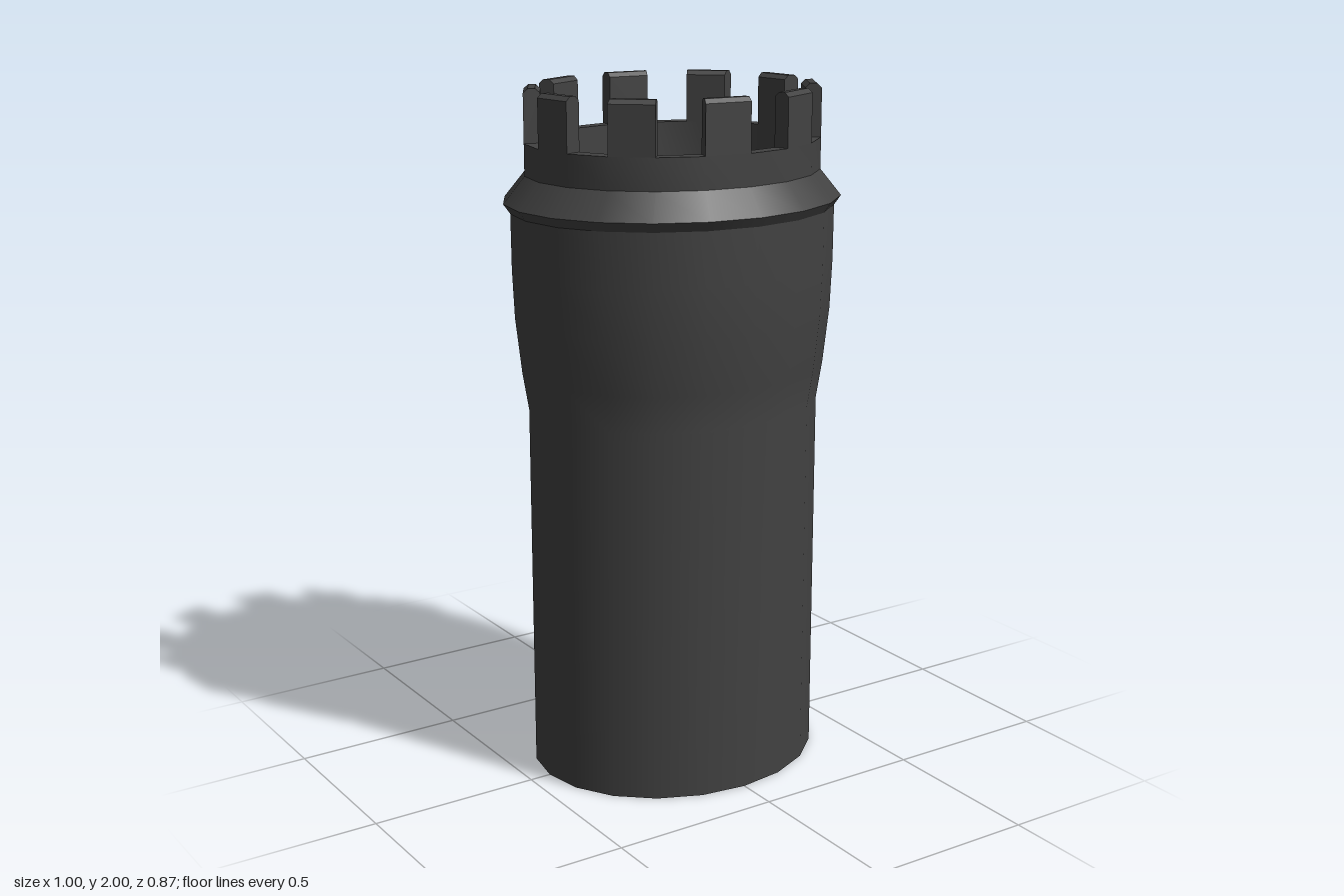
import * as THREE from 'three';
import { mergeGeometries, toCreasedNormals } from 'three/addons/utils/BufferGeometryUtils.js';

const SIDES = 20;
const STEP = (Math.PI * 2) / SIDES;
const DEPTH = 0.866; // oval plan: depth relative to width

const points = (list) => list.map(([r, y]) => new THREE.Vector2(r, y));

export function createModel() {
  const model = new THREE.Group();
  model.name = 'ovalTower';
  const stone = new THREE.MeshStandardMaterial({ color: 0x424242, side: THREE.DoubleSide });
  stone.name = 'darkStone';

  const add = (name, geometry) => {
    geometry.scale(1, 1, DEPTH);
    const mesh = new THREE.Mesh(geometry, stone);
    mesh.name = name;
    model.add(mesh);
  };
  const turn = (profile) => new THREE.LatheGeometry(points(profile), SIDES);

  // Hollow shaft, open at the bottom, flaring towards the top
  add('shaft', turn([
    [0.437, 0], [0.437, 1.09], [0.455, 1.2], [0.473, 1.36], [0.479, 1.5], [0.48, 1.66],
  ]));

  // Projecting collar
  add('collarUnderside', turn([[0.478, 1.655], [0.5, 1.685]]));
  add('collarSlope', turn([[0.5, 1.685], [0.437, 1.76]]));

  // Parapet wall and the platform inside it
  add('parapet', toCreasedNormals(turn([
    [0.437, 1.76], [0.437, 1.85], [0.388, 1.85], [0.388, 1.74],
  ]), 0.5));
  const platform = new THREE.CircleGeometry(0.388, SIDES);
  platform.rotateX(-Math.PI / 2).translate(0, 1.74, 0);
  add('platform', platform);

  // Battlements on every second side, with chamfered top edges
  const section = [
    [0.437, 1.85], [0.437, 1.988], [0.423, 2], [0.402, 2], [0.388, 1.988], [0.388, 1.85],
  ];
  const shape = new THREE.Shape(points(section));
  for (let i = 0; i < SIDES; i += 2) {
    const start = (i - 1) * STEP;
    const ends = [start, start + STEP].map((angle, k) => {
      const cap = new THREE.ShapeGeometry(shape);
      // one end faces the other way
      if (k === 0) {
        const index = Array.from(cap.index.array);
        cap.setIndex(index.reverse());
      }
      return cap.rotateY(angle - Math.PI / 2).toNonIndexed();
    });
    const body = new THREE.LatheGeometry(points(section), 1, start, STEP).toNonIndexed();
    const merlon = mergeGeometries([body, ...ends]);
    merlon.computeVertexNormals();
    add('merlon' + (i / 2 + 1), merlon);
  }
  return model;
}
